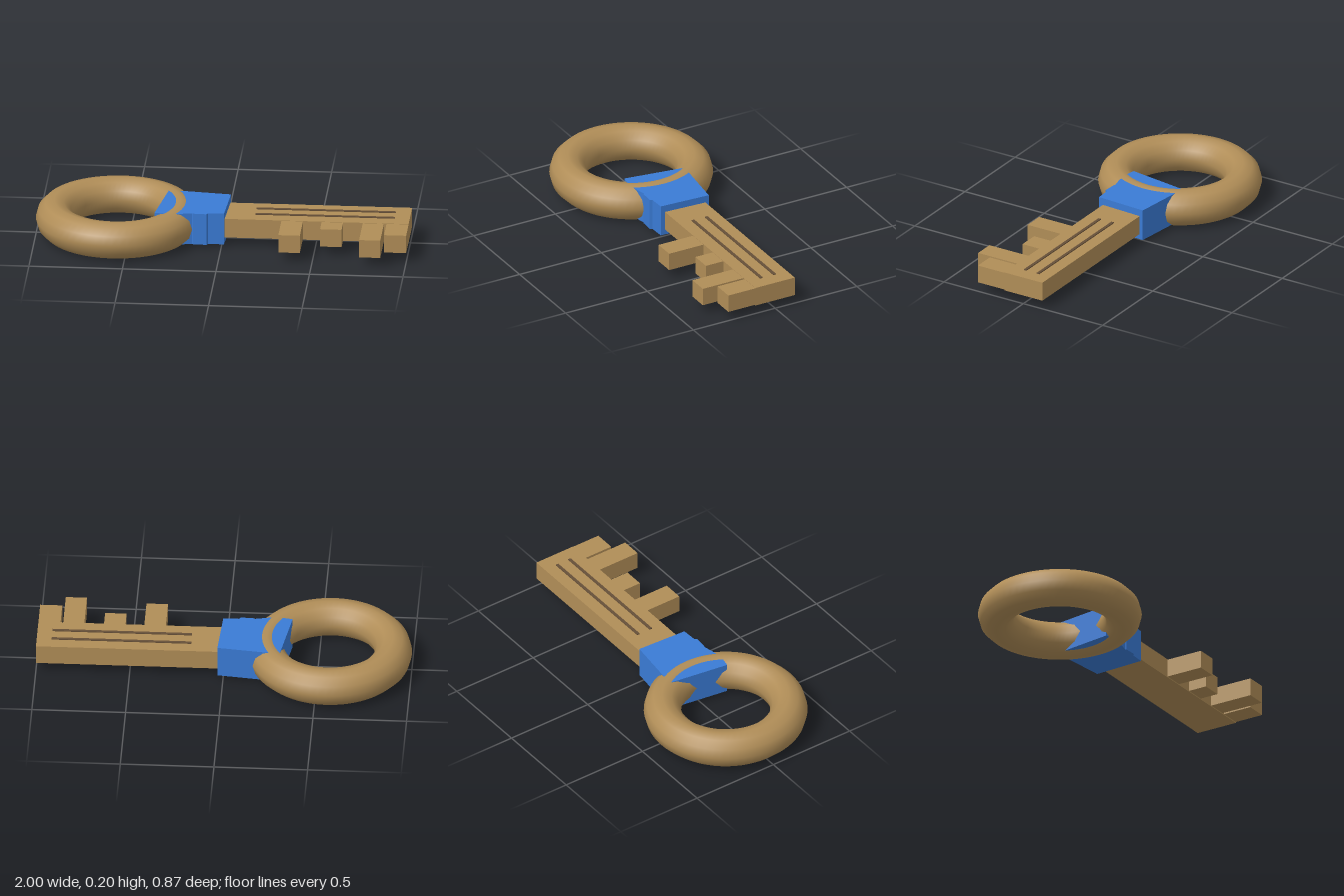
import * as THREE from 'three';

export function createModel() {
  const key = new THREE.Group();
  key.name = 'key';
  const bronze = new THREE.MeshStandardMaterial({ color: 0xb08d57 });
  bronze.name = 'bronze';
  const blue = new THREE.MeshStandardMaterial({ color: 0x3a7bd5 });
  blue.name = 'blue';
  const brown = new THREE.MeshStandardMaterial({ color: 0x665038 });
  brown.name = 'dark brown';

  const add = (name, geometry, material) => {
    const mesh = new THREE.Mesh(geometry, material);
    mesh.name = name;
    key.add(mesh);
    return mesh;
  };
  // Box given by its limits on each axis
  const addBox = (name, material, x0, x1, y0, y1, z0, z1) =>
    add(name, new THREE.BoxGeometry(x1 - x0, y1 - y0, z1 - z0), material)
      .position.set((x0 + x1) / 2, (y0 + y1) / 2, (z0 + z1) / 2);

  // Ring handle lying flat
  const ring = add('ringHandle', new THREE.TorusGeometry(0.337, 0.1, 12, 64), bronze);
  ring.rotation.x = -Math.PI / 2;
  ring.position.set(-0.564, 0.1, 0);

  // Skewed collar wrapped over the ring, outlined as [x, z]
  const outline = [
    [-0.355, 0.16], [-0.3, 0.17], [-0.225, 0.167], [-0.155, 0.152], [-0.15, 0.157],
    [-0.077, 0.161], [-0.07, 0.148], [0.015, 0.145], [0.03, -0.14], [-0.235, -0.172], [-0.305, -0.172],
  ];
  const shape = new THREE.Shape(outline.map(([x, z]) => new THREE.Vector2(x, -z)));
  const collar = add('collar', new THREE.ExtrudeGeometry(shape, { depth: 0.175, bevelEnabled: false }), blue);
  collar.rotation.x = -Math.PI / 2;
  collar.position.y = 0.018;

  // Blade with its teeth, each as [x0, x1, tip z]
  addBox('blade', bronze, -0.05, 1, 0.048, 0.154, -0.12, 0.12);
  const teeth = [[0.32, 0.435, 0.33], [0.535, 0.65, 0.226], [0.755, 0.868, 0.368], [0.882, 1, 0.286]];
  teeth.forEach(([x0, x1, tip], i) =>
    addBox(`tooth${i + 1}`, bronze, x0, x1, 0.053, 0.152, 0.1, tip));

  // Thin dark lines along the blade
  [-0.042, 0.039].forEach((z, i) =>
    addBox(`bladeLine${i + 1}`, brown, 0.175, 0.92, 0.152, 0.159, z - 0.008, z + 0.008));

  return key;
}
